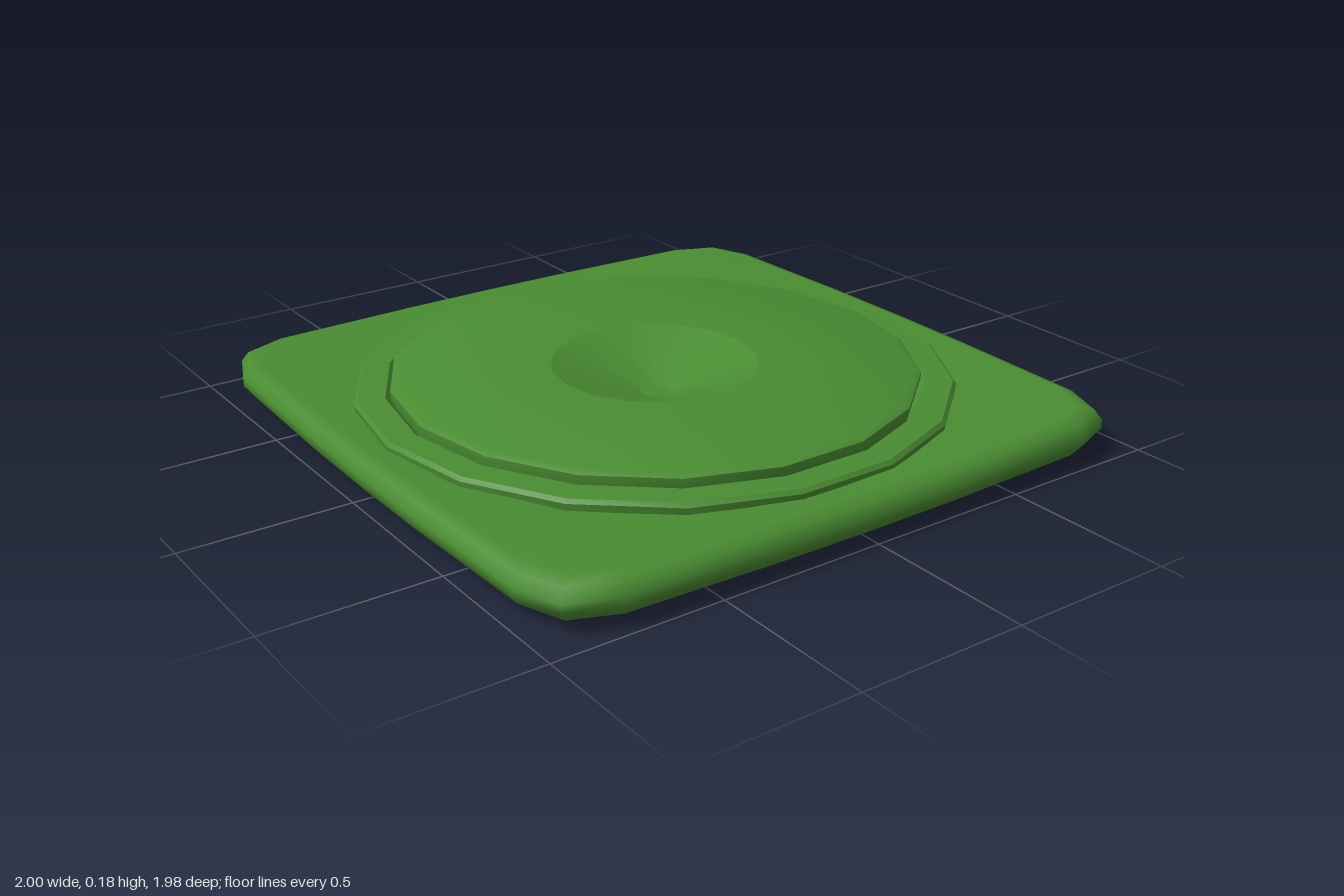
import * as THREE from 'three';
import { toCreasedNormals } from 'three/addons/utils/BufferGeometryUtils.js';

const SIDES = 18;

// Rounded-square outline, one quadrant rotated four times
function outline() {
  const quarter = [[1, 0], [0.997, 0.3], [0.98, 0.79], [0.925, 0.928], [0.79, 0.98], [0.3, 0.997]];
  const pts = [];
  for (let q = 0; q < 4; q++) {
    const c = Math.round(Math.cos(q * Math.PI / 2)), s = Math.round(Math.sin(q * Math.PI / 2));
    for (const [x, z] of quarter) pts.push([x * c - z * s, (x * s + z * c) * 0.99]);
  }
  return pts;
}

// Slab lofted from scaled outlines; its top dips to a round opening under the ring
function slabGeometry() {
  const edge = outline(), n = edge.length;
  const scaled = (k, y) => edge.map(([x, z]) => [x * k, y, z * k]);
  const round = (r, y) => edge.map(([x, z]) => {
    const d = Math.hypot(x, z);
    return [x / d * r, y, z / d * r];
  });
  const rings = [
    scaled(0.001, 0), scaled(0.85, 0.002), scaled(0.925, 0.008), scaled(0.975, 0.03),
    scaled(1, 0.065), scaled(1, 0.09), scaled(0.982, 0.12), scaled(0.945, 0.133),
    round(0.84, 0.115),
  ];
  const index = [];
  for (let r = 0; r < rings.length - 1; r++) {
    for (let i = 0; i < n; i++) {
      const j = (i + 1) % n;
      const a = r * n + i, b = r * n + j, c = a + n, d = b + n;
      index.push(a, c, b, b, c, d);
    }
  }
  const geo = new THREE.BufferGeometry();
  geo.setAttribute('position', new THREE.Float32BufferAttribute(rings.flat(2), 3));
  geo.setIndex(index);
  geo.computeVertexNormals();
  return geo;
}

// Turned part with crisp profile edges
function turned(profile) {
  const pts = profile.map(([r, y]) => new THREE.Vector2(r, y));
  return toCreasedNormals(new THREE.LatheGeometry(pts, SIDES), 0.6);
}

export function createModel() {
  const group = new THREE.Group();
  const green = new THREE.MeshStandardMaterial({ color: 0x4a8c32 });
  green.name = 'green';
  const add = (name, geo) => {
    const mesh = new THREE.Mesh(geo, green);
    mesh.name = name;
    group.add(mesh);
  };

  add('baseSlab', slabGeometry());
  // Raised collar, sloping into a groove around the disc
  add('outerRing', turned([[0.885, 0.1], [0.89, 0.138], [0.88, 0.149], [0.8, 0.15], [0.778, 0.125]]));
  add('disc', turned([[0.778, 0.125], [0.785, 0.155], [0.785, 0.17], [0.768, 0.18], [0.31, 0.18]]));
  // Conical hollow with a small flat floor
  add('centreHollow', turned([[0.31, 0.18], [0.3, 0.176], [0.045, 0.085]]));
  add('hollowFloor', turned([[0.045, 0.085], [0, 0.085]]));
  return group;
}
